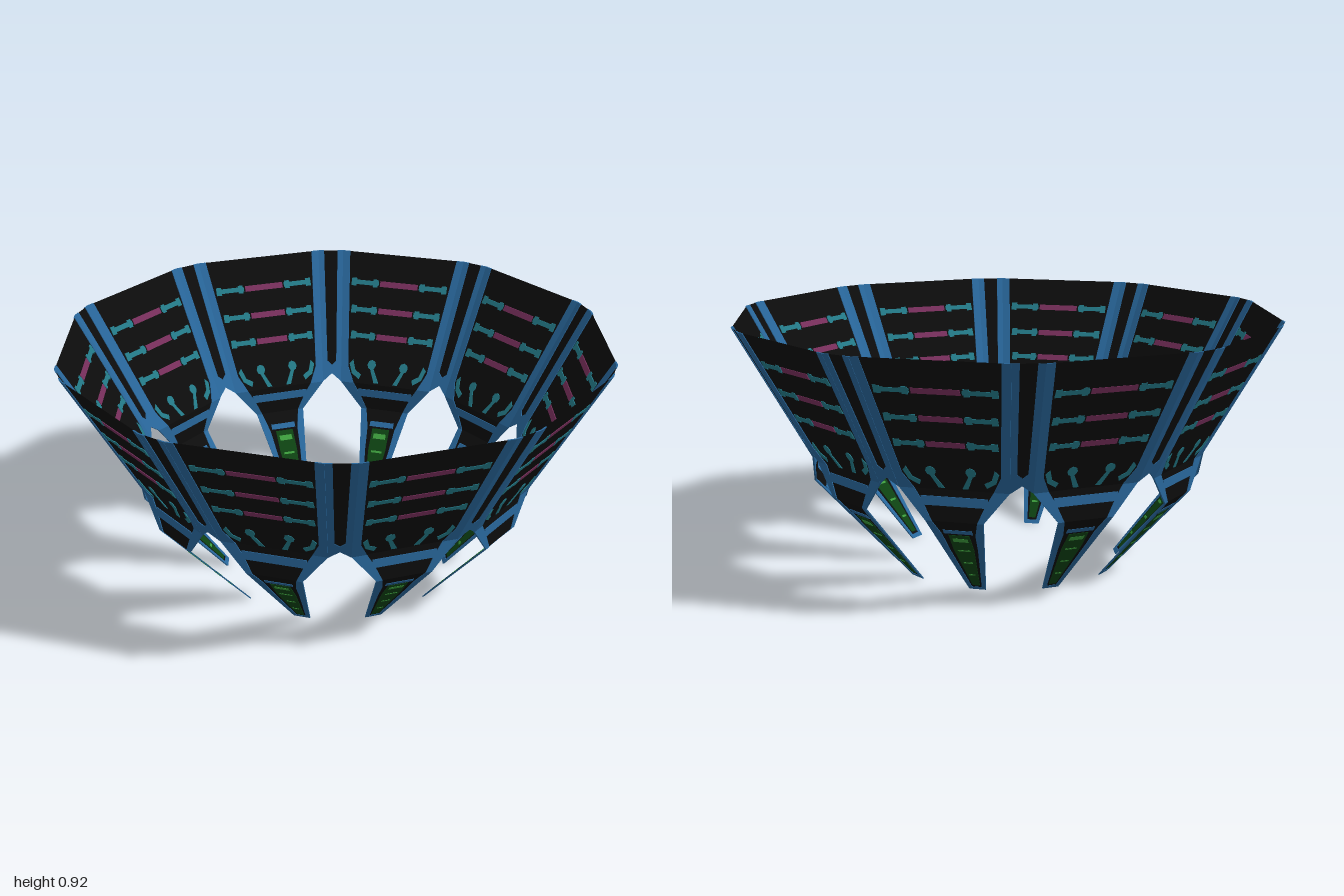
import * as THREE from 'three';
import { mergeGeometries } from 'three/addons/utils/BufferGeometryUtils.js';

const SIDES = 10, TOP = 0.92, FOLD = 0.44, KNEE = 0.33;
const HALF = Math.PI / SIDES, PANEL = THREE.MathUtils.degToRad(15);
const SEAM = HALF - PANEL;
const PLATE = 0.006;

// Corner radius of the flared bowl at height y
const cornerRadius = y => 0.73 + 0.27 * (y - FOLD) / (TOP - FOLD);

// Distance of a wide panel from the axis: flare, upright skirt, inward leg
function panelDistance(y) {
  if (y >= FOLD) return cornerRadius(y) * Math.cos(PANEL);
  if (y >= KNEE) return 0.705;
  return 0.415 + (0.705 - 0.415) * y / KNEE;
}
const seamDistance = y => cornerRadius(Math.max(y, FOLD)) * Math.cos(SEAM);

const shapeOf = pts => new THREE.Shape(pts.map(p => new THREE.Vector2(p[0], p[1])));
const flip = pts => pts.map(([u, y]) => [-u, y]);

// Stand a (u, y) drawing up on the surface that faces +x
function wrap(geo, distance) {
  const p = geo.attributes.position;
  for (let i = 0; i < p.count; i++) {
    const u = p.getX(i), y = p.getY(i), off = p.getZ(i);
    p.setXYZ(i, distance(y) + off, y, -u);
  }
  geo.computeVertexNormals();
  return geo;
}
const sheet = (pts, distance) => wrap(new THREE.ShapeGeometry(shapeOf(pts)), distance);

// Thin plate that shows on both faces of the sheet
function plate(pts, distance, depth = PLATE) {
  const geo = new THREE.ExtrudeGeometry(shapeOf(pts), { depth, bevelEnabled: false });
  geo.translate(0, 0, -depth / 2);
  return wrap(geo, distance);
}
const plates = (list, distance, depth) => mergeGeometries(list.map(p => plate(p, distance, depth)));
const both = list => list.flatMap(p => [p, flip(p)]);
const bar = (u0, u1, y, h) => [[u0, y - h], [u1, y - h], [u1, y + h], [u0, y + h]];
const dot = (u, y, r) => Array.from({ length: 8 }, (_, i) =>
  [u + r * Math.cos(i * Math.PI / 4), y + r * Math.sin(i * Math.PI / 4)]);

export function createModel() {
  const mat = (name, color, side = THREE.FrontSide) => {
    const m = new THREE.MeshStandardMaterial({ color, side });
    m.name = name;
    return m;
  };
  const black = mat('black', 0x0c0c0c, THREE.DoubleSide);
  const blue = mat('blue', 0x28669a);
  const teal = mat('teal', 0x237a88);
  const magenta = mat('magenta', 0x782f5c);
  const darkGreen = mat('dark green', 0x0d4212);
  const brightGreen = mat('bright green', 0x3c9c3c);

  const rim = Math.sin(PANEL), low = 0.73 * Math.sin(PANEL);
  const seamTop = Math.sin(SEAM), seamLow = 0.73 * Math.sin(SEAM);

  // Wide panel: flared wall, skirt and tapering leg
  const wall = mergeGeometries([
    sheet([[-low, FOLD], [low, FOLD], [rim, TOP], [-rim, TOP]], panelDistance),
    sheet([[-0.10, KNEE], [0.10, KNEE], [low, FOLD], [-low, FOLD]], panelDistance),
  ]);
  const leg = sheet([[-0.03, 0], [0.03, 0], [0.10, KNEE], [-0.10, KNEE]], panelDistance);

  // Narrow facet between panels, notched at the bottom
  const seam = sheet([[0, 0.47], [seamLow, FOLD], [seamTop, TOP], [-seamTop, TOP], [-seamLow, FOLD]], seamDistance);
  const seamTrim = plates(both([
    [[0.028, TOP], [seamTop, TOP], [seamLow, FOLD], [0, 0.47], [0, 0.50], [0.018, 0.515]],
  ]), seamDistance);

  // Blue frame of the panel and leg
  const panelTrim = plates([
    ...both([
      [[rim, TOP], [low, FOLD], [0.135, FOLD], [0.168, 0.50], [0.228, TOP]],
      [[low, FOLD], [0.10, KNEE], [0.078, KNEE], [0.108, 0.395], [0.135, FOLD]],
    ]),
    bar(-0.115, 0.115, 0.40, 0.016),
  ], panelDistance);
  const legTrim = plates([
    ...both([[[0.10, KNEE], [0.03, 0], [0.016, 0], [0.05, 0.20], [0.058, 0.27], [0.078, KNEE]]]),
    bar(-0.05, 0.05, 0.283, 0.008),
    bar(-0.018, 0.018, 0.006, 0.006),
  ], panelDistance);

  // Three rows of teal and magenta stripes
  const tealList = [], magentaList = [];
  for (const y of [0.81, 0.71, 0.615]) {
    const end = cornerRadius(y) * rim - 0.04, mid = 0.08 - (0.81 - y) * 0.08;
    magentaList.push(bar(-mid, mid, y, 0.010));
    tealList.push(...both([
      bar(mid + 0.006, end, y, 0.008),
      bar(mid + 0.010, mid + 0.030, y, 0.014),
      bar(end - 0.022, end, y, 0.014),
    ]));
  }
  // Stalked dots and hooks above the skirt
  tealList.push(...both([
    dot(0.068, 0.512, 0.018),
    [[0.06, 0.50], [0.074, 0.50], [0.05, 0.447], [0.03, 0.447]],
    [[0.15, 0.525], [0.163, 0.51], [0.148, 0.475], [0.115, 0.455], [0.108, 0.472], [0.135, 0.487]],
  ]));

  // Green inlay with brighter marks
  const inlay = plate([[-0.013, 0.02], [0.013, 0.02], [0.036, 0.20], [0.036, 0.268], [-0.036, 0.268], [-0.036, 0.20]], panelDistance);
  const marks = plates([
    bar(-0.026, 0.026, 0.245, 0.008),
    bar(-0.022, 0.022, 0.195, 0.003),
    bar(-0.016, 0.016, 0.135, 0.003),
    bar(-0.011, 0.011, 0.075, 0.003),
  ], panelDistance, 0.009);

  const panelParts = [
    ['panelWall', wall, black], ['leg', leg, black],
    ['panelFrame', panelTrim, blue], ['legFrame', legTrim, blue],
    ['tealStripes', plates(tealList, panelDistance), teal],
    ['magentaStripes', plates(magentaList, panelDistance), magenta],
    ['legInlay', inlay, darkGreen], ['inlayMarks', marks, brightGreen],
  ];
  const seamParts = [['seamStrip', seam, black], ['seamFrame', seamTrim, blue]];

  const model = new THREE.Group();
  model.name = 'panelledRing';
  const place = (name, parts, angle) => {
    const g = new THREE.Group();
    g.name = name;
    for (const [n, geo, m] of parts) {
      const mesh = new THREE.Mesh(geo, m);
      mesh.name = n;
      g.add(mesh);
    }
    g.rotation.y = angle;
    model.add(g);
  };
  for (let i = 0; i < SIDES; i++) {
    place('panel', panelParts, i * 2 * HALF);
    place('seam', seamParts, (i * 2 + 1) * HALF);
  }
  return model;
}
